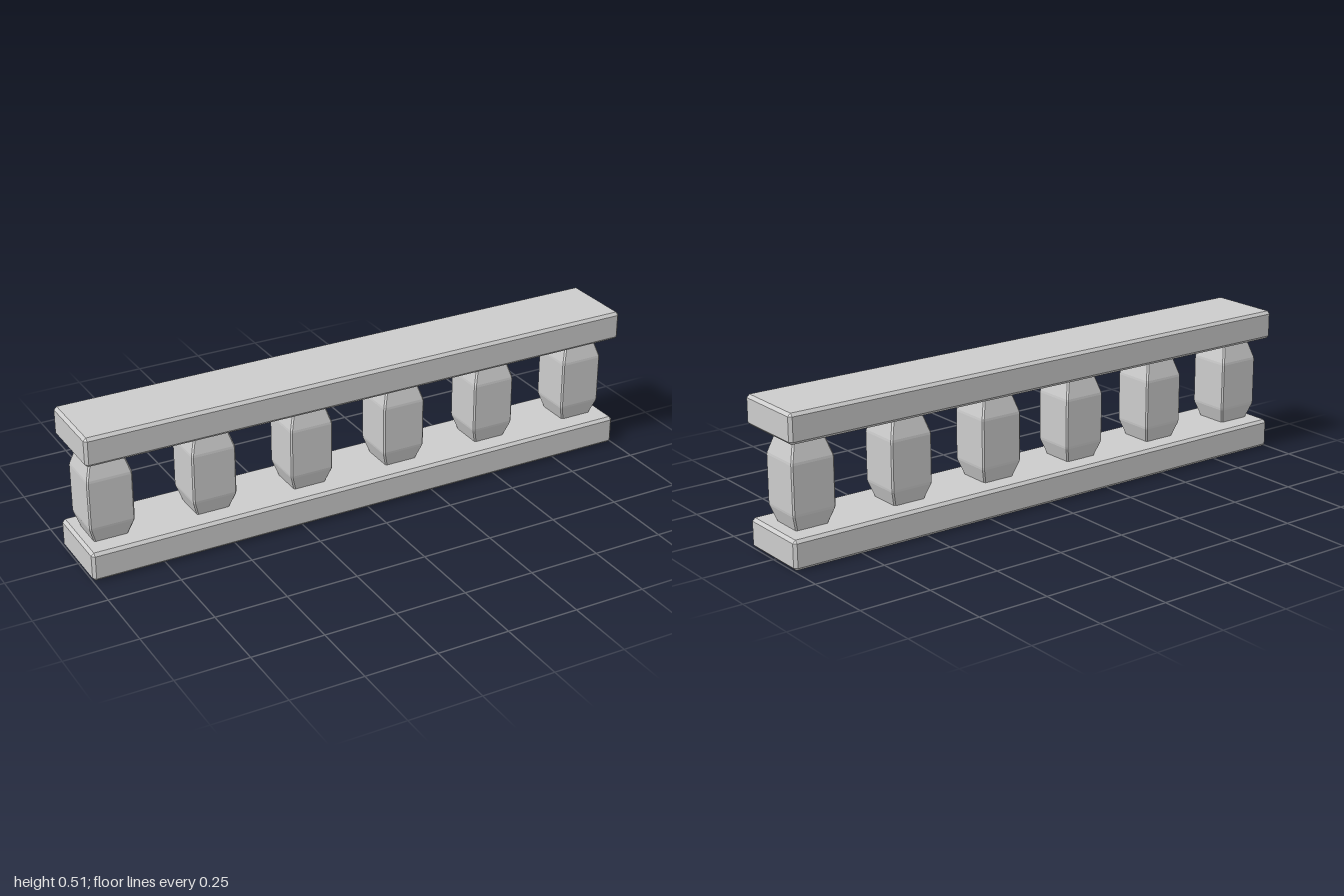
import * as THREE from 'three';
import { ConvexGeometry } from 'three/addons/geometries/ConvexGeometry.js';

const material = new THREE.MeshStandardMaterial({ color: 0xcccccc, flatShading: true });

// Corners of a rectangle in the xz plane with its four corners cut off by c
function ring(y, hx, hz, c) {
  const points = [];
  for (const sx of [-1, 1]) {
    for (const sz of [-1, 1]) {
      points.push(new THREE.Vector3(sx * (hx - c), y, sz * hz));
      if (c > 0) points.push(new THREE.Vector3(sx * hx, y, sz * (hz - c)));
    }
  }
  return points;
}

// Solid through a stack of [y, halfX, halfZ, cornerCut] sections
function solid(name, sections) {
  const mesh = new THREE.Mesh(new ConvexGeometry(sections.flatMap((s) => ring(...s))), material);
  mesh.name = name;
  return mesh;
}

// Long slab with every edge chamfered
function rail(name, y0, y1) {
  const hx = 1, hz = 0.133, c = 0.01;
  return solid(name, [
    [y0, hx - c, hz - c, 0],
    [y0 + c, hx, hz, c],
    [y1 - c, hx, hz, c],
    [y1, hx - c, hz - c, 0],
  ]);
}

export function createModel() {
  const group = new THREE.Group();
  group.name = 'balustrade';
  group.add(rail('bottomRail', 0, 0.101), rail('topRail', 0.409, 0.51));

  // Square balusters tapering at both ends, with a softened shoulder
  const profile = [[0.1, 0.059], [0.153, 0.0765], [0.161, 0.0775], [0.322, 0.0775], [0.33, 0.0765], [0.41, 0.052]];
  const baluster = solid('baluster', profile.map(([y, h]) => [y, h, h, 0.005]));
  [-0.903, -0.543, -0.187, 0.165, 0.523, 0.889].forEach((x, i) => {
    const copy = baluster.clone();
    copy.name = `baluster${i + 1}`;
    copy.position.x = x;
    group.add(copy);
  });
  return group;
}
